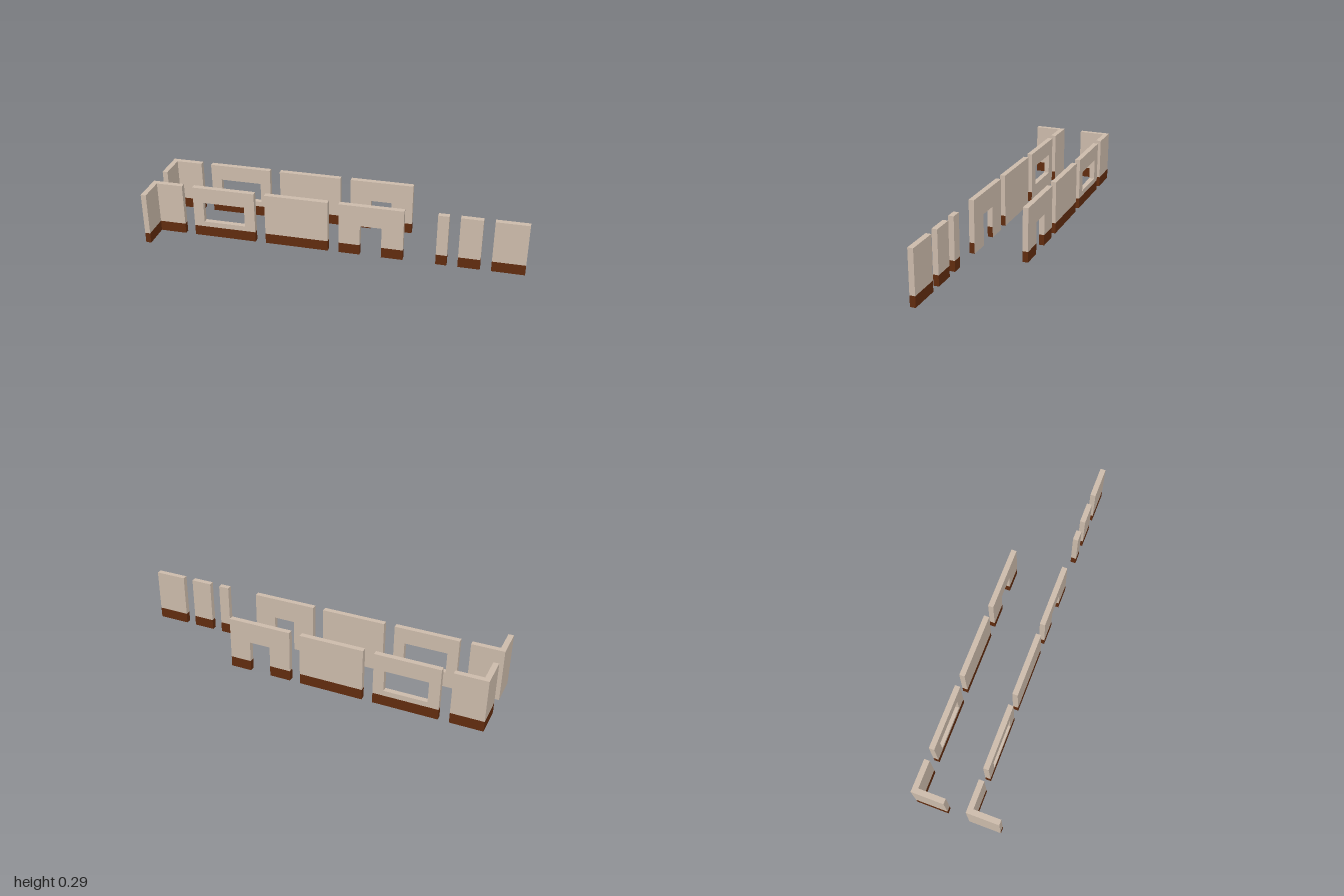
import * as THREE from 'three';

// All sizes are in grid units: the whole kit is 70 units long.
const UNIT = 2 / 70;
const HEIGHT = 10, SKIRTING = 2, THICK = 1;

export function createModel() {
  const model = new THREE.Group();
  model.name = 'wallKit';

  const plaster = new THREE.MeshStandardMaterial({ color: 0xcbbaaa });
  plaster.name = 'beige plaster';
  const wood = new THREE.MeshStandardMaterial({ color: 0x602b0e });
  wood.name = 'brown skirting';

  // Box between two corners; plainFaces lists box sides left in plaster
  function skirting(group, x0, x1, z0, z1, plainFaces = []) {
    const geo = new THREE.BoxGeometry(x1 - x0, SKIRTING, z1 - z0);
    geo.translate((x0 + x1) / 2, SKIRTING / 2, (z0 + z1) / 2);
    const mats = [0, 1, 2, 3, 4, 5].map(i => (plainFaces.includes(i) ? plaster : wood));
    const mesh = new THREE.Mesh(geo, mats);
    mesh.name = 'skirting';
    group.add(mesh);
  }

  // Plaster slab standing on the skirting, from an outline and optional hole
  function slab(group, points, z, depth = THICK, hole) {
    const toVec = p => new THREE.Vector2(p[0], p[1]);
    const shape = new THREE.Shape(points.map(toVec));
    if (hole) shape.holes.push(new THREE.Path(hole.map(toVec)));
    const geo = new THREE.ExtrudeGeometry(shape, { depth, bevelEnabled: false });
    geo.translate(0, 0, z);
    const mesh = new THREE.Mesh(geo, plaster);
    mesh.name = 'plasterPanel';
    group.add(mesh);
  }

  const rect = (x0, y0, x1, y1) => [[x0, y0], [x1, y0], [x1, y1], [x0, y1]];

  function piece(name) {
    const group = new THREE.Group();
    group.name = name;
    model.add(group);
    return group;
  }

  function plainWall(name, x0, x1, z, plain) {
    const g = piece(name);
    slab(g, rect(x0, SKIRTING, x1, HEIGHT), z);
    skirting(g, x0, x1, z, z + THICK, plain);
    return g;
  }

  function windowWall(name, x, z, plain) {
    const g = piece(name);
    slab(g, rect(x, SKIRTING, x + 12, HEIGHT), z, THICK, rect(x + 2, 3, x + 10, 7).reverse());
    skirting(g, x, x + 12, z, z + THICK, plain);
  }

  function doorWall(name, x, z, plain) {
    const g = piece(name);
    slab(g, [[x, 2], [x + 4, 2], [x + 4, 6], [x + 8, 6], [x + 8, 2],
      [x + 12, 2], [x + 12, HEIGHT], [x, HEIGHT]], z);
    skirting(g, x, x + 4, z, z + THICK, plain);
    skirting(g, x + 8, x + 12, z, z + THICK, plain);
  }

  // L-shaped corner with a return leg running towards the front
  function cornerWall(name, x, z, plain) {
    const g = plainWall(name, x, x + 6, z, plain);
    slab(g, rect(x, SKIRTING, x + THICK, HEIGHT), z + THICK, 5);
    skirting(g, x, x + THICK, z + THICK, z + 6, plain);
  }

  // Back row has skirting all round; front row has a plain outer side
  const rows = [
    { label: 'inner', z: -8, plain: [], cornerPlain: [] },
    { label: 'outer', z: 2, plain: [5], cornerPlain: [1, 5] },
  ];
  for (const { label, z, plain, cornerPlain } of rows) {
    cornerWall(label + 'Corner', -35, z, cornerPlain);
    windowWall(label + 'WindowWall', -27, z, plain);
    plainWall(label + 'Wall', -13, -1, z, plain);
    doorWall(label + 'DoorWall', 1, z, plain);
  }

  // Short filler walls
  [[19, 21], [23, 27], [29, 35]].forEach(([x0, x1], i) =>
    plainWall('fillerWall' + (i + 1), x0, x1, 2));

  model.scale.setScalar(UNIT);
  return model;
}
